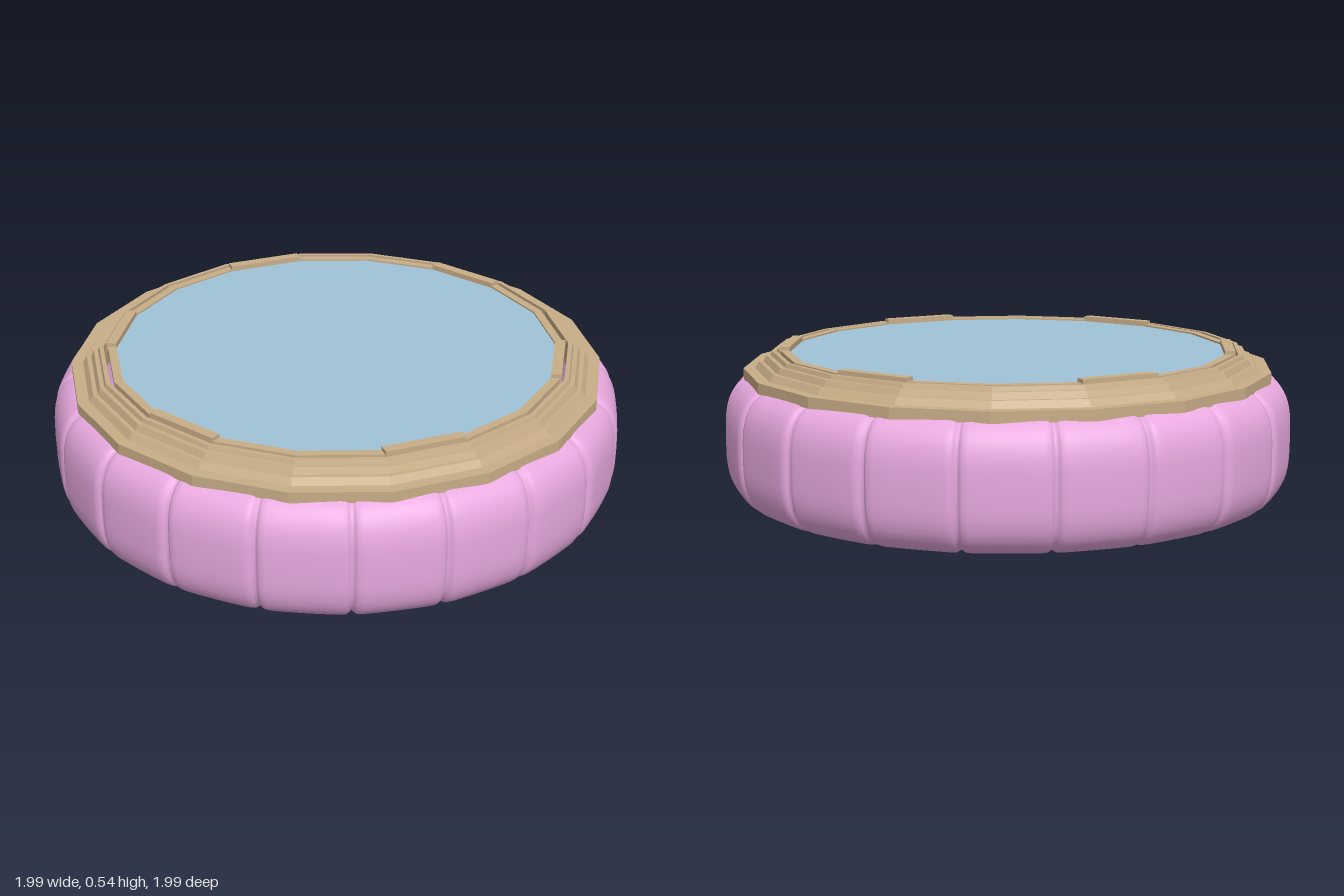
import * as THREE from 'three';

const SIDES = 18;
const wood = new THREE.MeshStandardMaterial({ color: 0xc9ae88, flatShading: true, side: THREE.DoubleSide });
const pink = new THREE.MeshStandardMaterial({ color: 0xe8a9df, side: THREE.DoubleSide });
const blue = new THREE.MeshStandardMaterial({ color: 0xa0c4d8, side: THREE.DoubleSide });

function part(name, geometry, material) {
  const mesh = new THREE.Mesh(geometry, material);
  mesh.name = name;
  return mesh;
}

// Closed profile [radius, y] turned into an 18-sided ring
function polygonRing(profile) {
  const points = [...profile, profile[0]].map(([r, y]) => new THREE.Vector2(r, y));
  return new THREE.LatheGeometry(points, SIDES, Math.PI / SIDES);
}

// Open C-shaped shell divided into padded segments by narrow seams
function paddedShell() {
  const segments = 20, rows = 24;
  const inner = 0.82, halfHeight = 0.222, depth = 0.18, power = 2 / 3;
  // [position across a segment, fullness]
  const steps = [[0, 0.88], [0.03, 0.94], [0.06, 0.985], [0.12, 1], [0.25, 1], [0.4, 1],
    [0.6, 1], [0.75, 1], [0.88, 1], [0.94, 0.985], [0.97, 0.94]];
  const positions = [], index = [];
  const columns = segments * steps.length;
  for (let c = 0; c < columns; c++) {
    const [u, full] = steps[c % steps.length];
    const angle = (Math.floor(c / steps.length) + u) * Math.PI * 2 / segments;
    const flatten = 1 - 0.006 * Math.sin(Math.PI * u);
    for (let j = 0; j <= rows; j++) {
      const t = (j / rows - 0.5) * Math.PI;
      const s = Math.sin(t);
      const r = (inner + depth * full * Math.pow(Math.max(0, Math.cos(t)), power)) * flatten;
      const rise = full < 1 ? 1 - (1 - full) * 0.4 : 1;
      const y = halfHeight * (1 + rise * Math.sign(s) * Math.pow(Math.abs(s), power));
      positions.push(r * Math.sin(angle), y, r * Math.cos(angle));
    }
  }
  for (let c = 0; c < columns; c++) {
    const next = (c + 1) % columns;
    for (let j = 0; j < rows; j++) {
      const a = c * (rows + 1) + j, b = next * (rows + 1) + j;
      index.push(a, b, b + 1, a, b + 1, a + 1);
    }
  }
  const geometry = new THREE.BufferGeometry();
  geometry.setAttribute('position', new THREE.Float32BufferAttribute(positions, 3));
  geometry.setIndex(index);
  geometry.computeVertexNormals();
  return geometry;
}

export function createModel() {
  const model = new THREE.Group();
  model.name = 'paddedRingTable';

  model.add(part('paddedRing', paddedShell(), pink));

  // Stepped rim resting on the padding
  model.add(part('steppedRim', polygonRing([
    [0.82, 0.425], [0.93, 0.425], [0.93, 0.463], [0.89, 0.463], [0.875, 0.486],
    [0.86, 0.486], [0.85, 0.508], [0.835, 0.508], [0.83, 0.522], [0.815, 0.522],
  ]), wood));

  // Centre panel with its narrow trim, separated from the rim by a gap
  model.add(part('panelTrim', polygonRing([
    [0.77, 0.502], [0.8, 0.502], [0.8, 0.522], [0.77, 0.522],
  ]), wood));
  const disc = new THREE.CircleGeometry(0.772, SIDES);
  disc.rotateX(-Math.PI / 2);
  const panel = part('centrePanel', disc, blue);
  panel.position.y = 0.516;
  model.add(panel);

  // Six small blocks around the panel edge
  const blocks = new THREE.Group();
  blocks.name = 'edgeBlocks';
  for (let i = 0; i < 6; i++) {
    const geometry = new THREE.BoxGeometry(0.275, 0.03, 0.036);
    geometry.translate(0, 0.52, 0.775);
    const block = part('edgeBlock', geometry, wood);
    block.rotation.y = i * Math.PI / 3;
    blocks.add(block);
  }
  model.add(blocks);
  return model;
}
